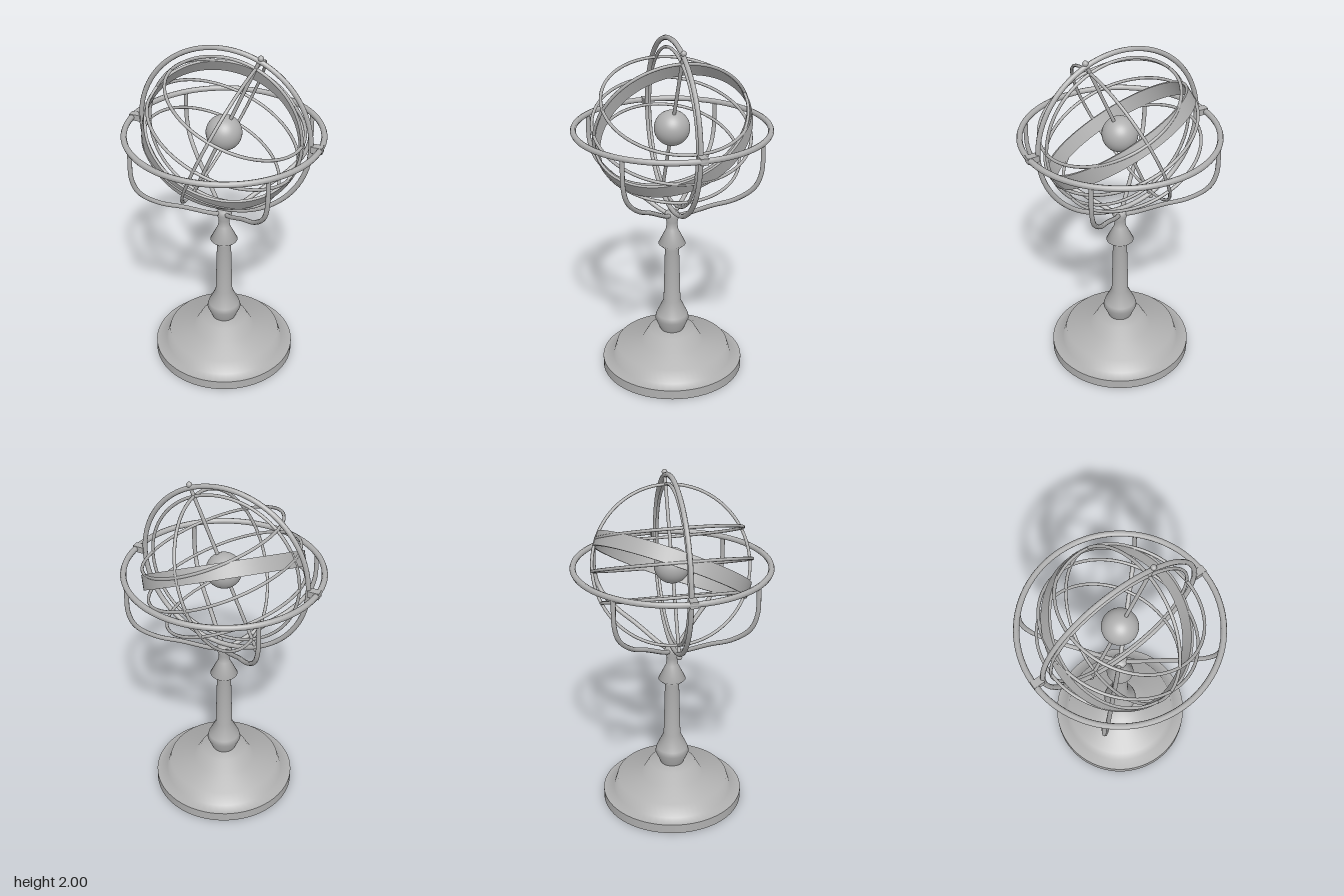
import * as THREE from 'three';

const CENTER = 1.495;                       // height of the sphere centre
const TILT = THREE.MathUtils.degToRad(23.4); // axial tilt
const R = 0.441;                            // radius of the inner sphere rings

export function createModel() {
  const model = new THREE.Group();
  model.name = 'armillarySphere';
  const metal = new THREE.MeshStandardMaterial({ color: 0xb0b0b0 });
  metal.name = 'greyMetal';

  const add = (parent, name, geometry, x = 0, y = 0, z = 0) => {
    const mesh = new THREE.Mesh(geometry, metal);
    mesh.name = name;
    mesh.position.set(x, y, z);
    parent.add(mesh);
    return mesh;
  };
  const lathe = (points, segments = 64) =>
    new THREE.LatheGeometry(points.map(([r, y]) => new THREE.Vector2(r, y)), segments);
  const ring = (radius, tube) => new THREE.TorusGeometry(radius, tube, 8, 96);

  // Base: crisp disc with a softly stepped mound on it
  add(model, 'baseDisc', new THREE.CylinderGeometry(0.415, 0.415, 0.056, 64), 0, 0.028, 0);
  add(model, 'baseMound', lathe([
    [0.415, 0.056], [0.353, 0.062], [0.33, 0.138], [0.182, 0.152], [0.138, 0.232], [0, 0.234],
  ]));

  // Turned stem
  add(model, 'stem', lathe([
    [0.068, 0.23], [0.1, 0.305], [0.092, 0.335], [0.05, 0.425], [0.041, 0.76], [0.079, 0.795],
    [0.035, 0.885], [0.03, 0.93], [0.045, 0.97], [0.036, 0.992], [0, 0.995],
  ], 40));

  // Four curved arms carrying the horizon ring
  const armPath = new THREE.CatmullRomCurve3([
    [0, 0.97], [0.06, 0.985], [0.25, 1.08], [0.39, 1.145], [0.5, 1.235], [0.54, 1.33], [0.544, 1.49],
  ].map(([r, y]) => new THREE.Vector3(r, y, 0)));
  const armGeometry = new THREE.TubeGeometry(armPath, 36, 0.013, 8);
  for (let i = 0; i < 4; i++) {
    add(model, 'supportArm', armGeometry).rotation.y = Math.PI / 4 + i * Math.PI / 2;
  }

  // Fixed outer rings and the clips joining them
  add(model, 'horizonRing', ring(0.543, 0.0165), 0, CENTER, 0).rotation.x = Math.PI / 2;
  add(model, 'meridianRing', ring(0.491, 0.014), 0, CENTER, 0);
  for (const side of [-1, 1]) {
    add(model, 'ringClip', new THREE.BoxGeometry(0.064, 0.036, 0.042), side * 0.525, CENTER, 0);
  }

  // Tilted inner sphere
  const sphere = new THREE.Group();
  sphere.name = 'tiltedSphere';
  sphere.position.y = CENTER;
  sphere.rotation.z = -TILT;
  model.add(sphere);

  add(sphere, 'globe', new THREE.SphereGeometry(0.1, 40, 24));
  add(sphere, 'axisRod', new THREE.CylinderGeometry(0.01, 0.01, 1.02, 12));
  for (const end of [-1, 1]) {
    add(sphere, 'axisKnob', new THREE.SphereGeometry(0.016, 16, 10), 0, end * 0.508, 0);
  }

  // Two vertical rings through the poles
  for (const turn of [0, Math.PI / 2]) {
    add(sphere, 'polarRing', ring(R, 0.009)).rotation.y = turn;
  }

  // Equator and the two tropics
  for (const latitude of [-TILT, 0, TILT]) {
    add(sphere, 'latitudeRing', ring(R * Math.cos(latitude), 0.009),
      0, R * Math.sin(latitude), 0).rotation.x = Math.PI / 2;
  }

  // Broad ecliptic band: a flat hoop with separate walls for sharp edges
  const band = new THREE.Group();
  band.name = 'eclipticBand';
  band.rotation.x = TILT;
  sphere.add(band);
  const corners = [[0.43, -0.042], [0.445, -0.042], [0.445, 0.042], [0.43, 0.042]];
  corners.forEach((corner, i) => {
    add(band, 'bandWall', lathe([corner, corners[(i + 1) % 4]], 96));
  });

  return model;
}
